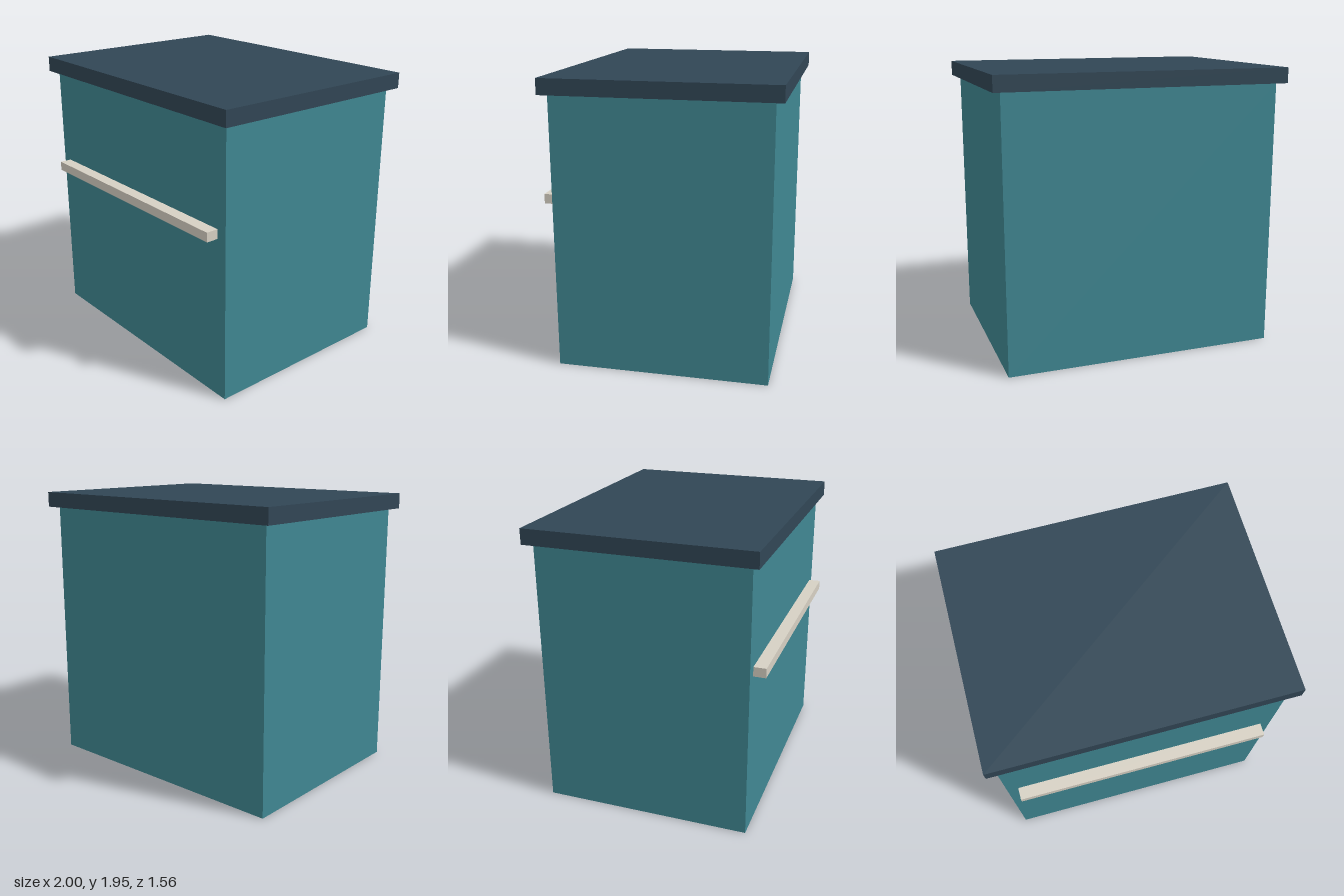
import * as THREE from 'three';

// Box mesh from its min and max corners
function block(name, color, min, max) {
  const lo = new THREE.Vector3(...min);
  const hi = new THREE.Vector3(...max);
  const size = hi.clone().sub(lo);
  const mesh = new THREE.Mesh(
    new THREE.BoxGeometry(size.x, size.y, size.z),
    new THREE.MeshStandardMaterial({ color })
  );
  mesh.position.copy(lo).add(hi).multiplyScalar(0.5);
  mesh.name = name;
  return mesh;
}

export function createModel() {
  const group = new THREE.Group();
  group.name = 'cabinet';
  group.add(
    // Closed body
    block('body', 0x408792, [-0.945, 0, -0.725], [0.945, 1.845, 0.697]),
    // Overhanging slab on top
    block('top', 0x314655, [-1, 1.845, -0.78], [1, 1.95, 0.747]),
    // Horizontal rail across the front, seated on the body
    block('frontRail', 0xd6d0c3, [-0.87, 1.113, 0.69], [0.87, 1.177, 0.78])
  );
  return group;
}
